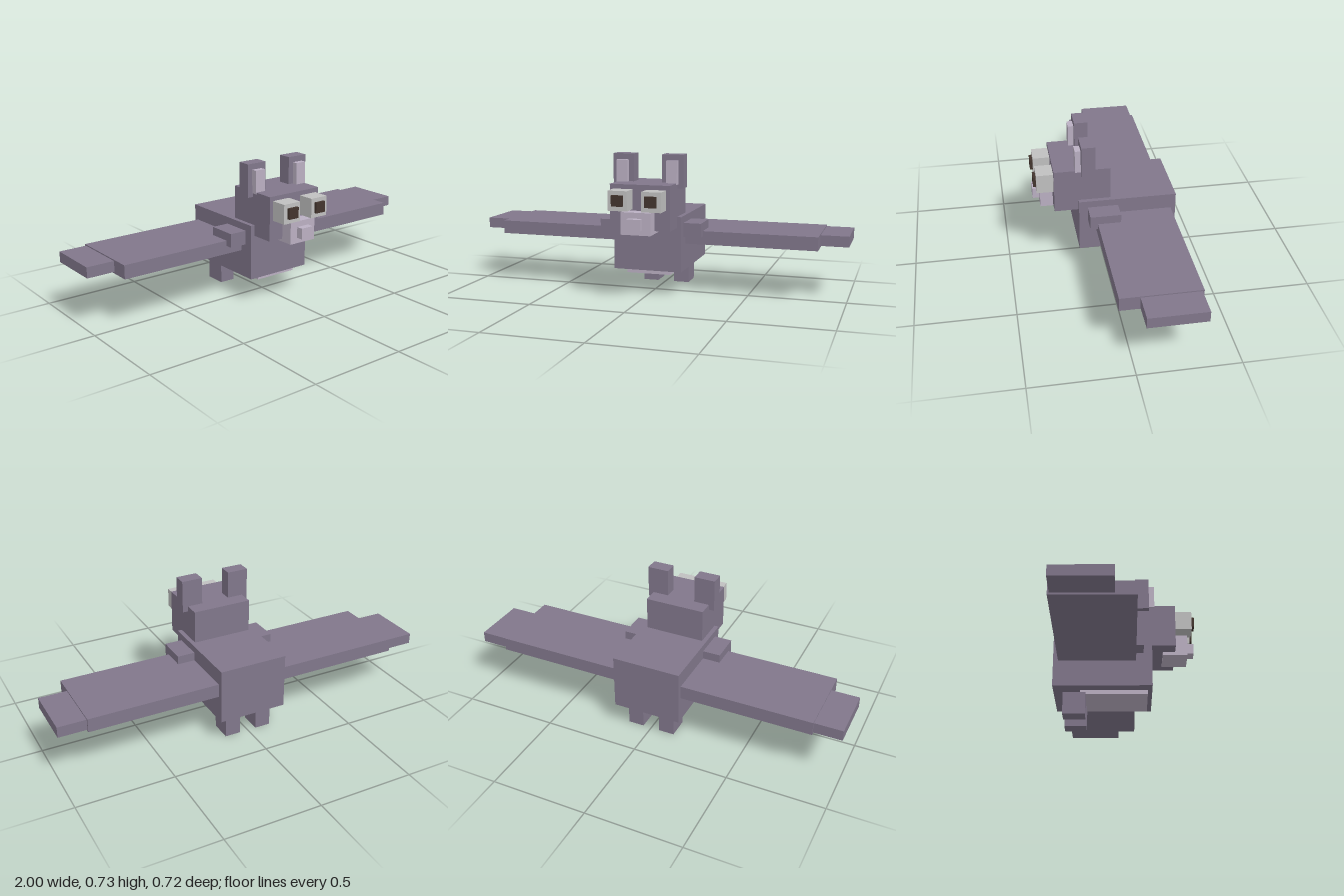
import * as THREE from 'three';

const material = (name, color) => {
  const m = new THREE.MeshStandardMaterial({ color });
  m.name = name;
  return m;
};

export function createModel() {
  const fur = material('purple grey fur', 0x81778b);
  const skin = material('pale mauve skin', 0xbbb0c3);
  const eyeGrey = material('eye grey', 0xc0c0c0);
  const pupilBrown = material('pupil brown', 0x43352e);

  const bat = new THREE.Group();
  bat.name = 'bat';

  // Box given by its extents on each axis
  const box = (name, mat, [x0, x1], [y0, y1], [z0, z1]) => {
    const mesh = new THREE.Mesh(new THREE.BoxGeometry(x1 - x0, y1 - y0, z1 - z0), mat);
    mesh.position.set((x0 + x1) / 2, (y0 + y1) / 2, (z0 + z1) / 2);
    mesh.name = name;
    bat.add(mesh);
  };
  // The same box on both sides
  const pair = (name, mat, [x0, x1], y, z) => {
    box(`${name}Left`, mat, [x0, x1], y, z);
    box(`${name}Right`, mat, [-x1, -x0], y, z);
  };

  // Torso and head
  box('body', fur, [-0.18, 0.18], [0.13, 0.416], [-0.36, 0.14]);
  box('belly', skin, [-0.117, 0.117], [0.108, 0.15], [-0.225, 0.117]);
  box('head', fur, [-0.157, 0.157], [0.36, 0.588], [-0.024, 0.262]);

  // Face
  box('snout', skin, [-0.077, 0.077], [0.345, 0.458], [0.198, 0.327]);
  box('nose', skin, [-0.035, 0.035], [0.373, 0.429], [0.3, 0.362]);
  pair('eye', eyeGrey, [0.037, 0.137], [0.465, 0.565], [0.25, 0.348]);
  pair('pupil', pupilBrown, [0.057, 0.115], [0.489, 0.544], [0.34, 0.362]);

  // Ears
  pair('ear', fur, [0.075, 0.186], [0.56, 0.73], [0.056, 0.126]);
  pair('innerEar', skin, [0.103, 0.16], [0.58, 0.7], [0.11, 0.155]);

  // Shoulders and wings
  pair('shoulder', fur, [0.15, 0.272], [0.308, 0.38], [-0.06, 0.096]);
  pair('wing', fur, [0.15, 0.857], [0.266, 0.336], [-0.335, 0.058]);
  pair('wingTip', fur, [0.84, 1], [0.275, 0.33], [-0.326, -0.04]);

  // Feet
  pair('foot', fur, [0.045, 0.128], [0, 0.115], [-0.31, -0.197]);

  return bat;
}
